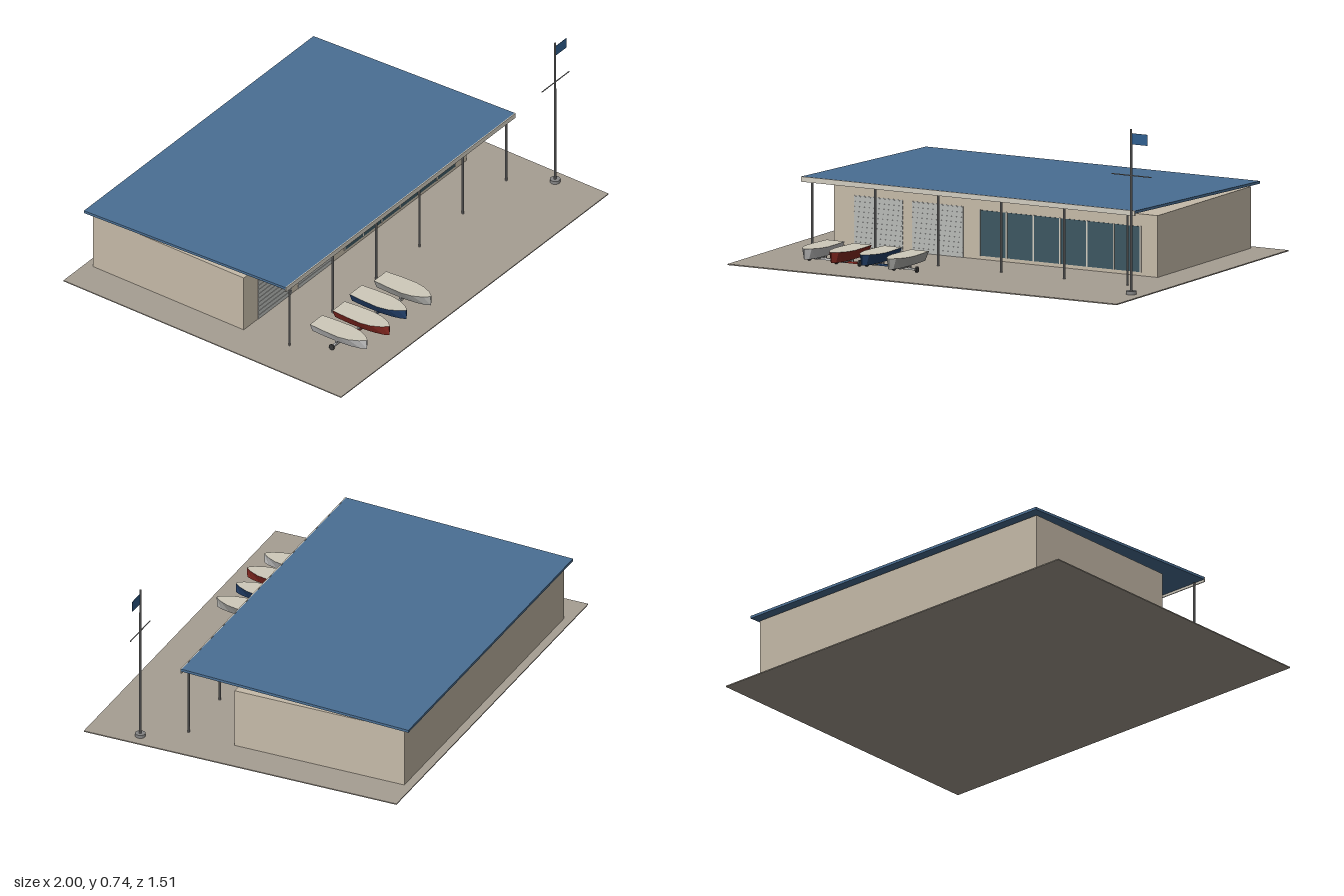
import * as THREE from 'three';

const mat = (color, double) => new THREE.MeshStandardMaterial({
  color, flatShading: true, side: double ? THREE.DoubleSide : THREE.FrontSide });

const M = {
  paving: mat(0xa69e92), wall: mat(0xc6bba9), roof: mat(0x4a6f94), trim: mat(0xd2cdc0),
  metal: mat(0x858585), glass: mat(0x3c5661), shutter: mat(0xb9bbb8), flag: mat(0x2f5f8f, true),
  deck: mat(0xcfcabb), tyre: mat(0x3a3a3a),
};

function add(parent, name, geo, material, x = 0, y = 0, z = 0) {
  const m = new THREE.Mesh(geo, material);
  m.name = name;
  m.position.set(x, y, z);
  parent.add(m);
  return m;
}

// Box given by its minimum and maximum corners
function box(parent, name, material, [x0, y0, z0], [x1, y1, z1]) {
  return add(parent, name, new THREE.BoxGeometry(x1 - x0, y1 - y0, z1 - z0), material,
    (x0 + x1) / 2, (y0 + y1) / 2, (z0 + z1) / 2);
}

function group(parent, name) {
  const g = new THREE.Group();
  g.name = name;
  parent.add(g);
  return g;
}

// Boat stations from stern to bow: z, half beam, half bottom width, bottom y, top y
const STATIONS = [
  [-0.138, 0.045, 0.026, 0.035, 0.079],
  [-0.06, 0.051, 0.028, 0.034, 0.08],
  [0.02, 0.053, 0.026, 0.034, 0.081],
  [0.07, 0.044, 0.02, 0.034, 0.082],
  [0.115, 0.024, 0.01, 0.035, 0.084],
  [0.14, 0.003, 0.001, 0.038, 0.085],
];

function surface(quads) {
  const p = [];
  for (const [a, b, c, d] of quads) p.push(...a, ...b, ...c, ...a, ...c, ...d);
  const g = new THREE.BufferGeometry();
  g.setAttribute('position', new THREE.Float32BufferAttribute(p, 3));
  g.computeVertexNormals();
  return g;
}

function makeBoat(color) {
  const boat = new THREE.Group();
  // Rings run top left, bottom left, bottom right, top right
  const rings = STATIONS.map(([z, w, b, y0, y1]) =>
    [[-w, y1, z], [-b, y0, z], [b, y0, z], [w, y1, z]]);
  const hull = [], deck = [];
  for (let i = 0; i < rings.length - 1; i++) {
    const a = rings[i], b = rings[i + 1];
    for (let j = 0; j < 3; j++) hull.push([a[j], a[j + 1], b[j + 1], b[j]]);
    deck.push([a[0], b[0], b[3], a[3]]);
  }
  const stern = rings[0], bow = rings[rings.length - 1];
  hull.push([stern[0], stern[3], stern[2], stern[1]], bow);
  add(boat, 'hull', surface(hull), mat(color, true));
  add(boat, 'deckCover', surface(deck), M.deck);

  // Launching trolley
  const trolley = group(boat, 'trolley');
  box(trolley, 'axle', mat(color), [-0.058, 0.015, -0.014], [0.058, 0.024, -0.004]);
  box(trolley, 'drawbar', M.metal, [-0.004, 0.022, -0.05], [0.004, 0.034, 0.04]);
  for (const s of [-1, 1]) {
    box(trolley, 'cradle', M.metal, [s * 0.024 - 0.004, 0.022, -0.014], [s * 0.024 + 0.004, 0.036, -0.004]);
    const wheel = add(trolley, 'wheel', new THREE.CylinderGeometry(0.014, 0.014, 0.007, 12), M.tyre,
      s * 0.058, 0.019, -0.009);
    wheel.rotation.z = Math.PI / 2;
  }
  return boat;
}

export function createModel() {
  const model = new THREE.Group();
  model.name = 'boathouse';

  box(model, 'paving', M.paving, [-1, 0, -0.757], [0.963, 0.005, 0.757]);
  const house = group(model, 'building');
  box(house, 'walls', M.wall, [-0.837, 0.005, -0.717], [0.797, 0.28, 0.105]);

  // Single-pitch roof sheared down towards the back
  const roofGeo = new THREE.BoxGeometry(1.685, 0.012, 1.1);
  const p = roofGeo.attributes.position;
  for (let i = 0; i < p.count; i++) p.setY(i, p.getY(i) + p.getZ(i) * 0.0375);
  roofGeo.computeVertexNormals();
  add(house, 'roof', roofGeo, M.roof, -0.0185, 0.316, -0.199);
  box(house, 'fascia', M.trim, [-0.861, 0.32, 0.349], [0.824, 0.343, 0.354]);

  // Veranda posts
  const postGeo = new THREE.CylinderGeometry(0.005, 0.005, 0.32, 8);
  for (let i = 0; i < 6; i++) add(house, 'post', postGeo, M.metal, -0.813 + i * 0.318, 0.165, 0.337);

  // Window wall with mullions
  const windows = group(house, 'windows');
  const x0 = -0.099, x1 = 0.712, step = (x1 - x0) / 6;
  box(windows, 'glass', M.glass, [x0, 0.021, 0.1], [x1, 0.224, 0.108]);
  for (let i = 0; i <= 6; i++) {
    const x = x0 + i * step;
    box(windows, 'mullion', M.trim, [x - 0.0035, 0.021, 0.1], [x + 0.0035, 0.226, 0.11]);
  }

  // Roller doors with horizontal slats
  for (const [a, b] of [[-0.733, -0.488], [-0.44, -0.184]]) {
    const door = group(house, 'rollerDoor');
    box(door, 'doorPanel', M.shutter, [a, 0.005, 0.1], [b, 0.232, 0.107]);
    for (let i = 0; i < 10; i++) {
      const y = 0.012 + i * 0.0225;
      box(door, 'slat', M.shutter, [a, y, 0.104], [b, y + 0.014, 0.109]);
    }
  }

  // Row of boats with bows facing forward
  [[-0.672, 0.515, 0xc6c6c2], [-0.527, 0.53, 0x8a2a22], [-0.382, 0.515, 0x24426e], [-0.233, 0.538, 0xb4b4b0]]
    .forEach(([x, z, color]) => {
      const boat = makeBoat(color);
      boat.name = 'boat';
      boat.position.set(x, 0, z);
      model.add(boat);
    });

  // Flagpole with yard and flag
  const pole = group(model, 'flagpole');
  pole.position.set(0.898, 0, 0.514);
  add(pole, 'base', new THREE.CylinderGeometry(0.023, 0.023, 0.015, 16), M.metal, 0, 0.0125, 0);
  add(pole, 'mast', new THREE.CylinderGeometry(0.0045, 0.006, 0.735, 10), M.metal, 0, 0.3725, 0);
  const yard = add(pole, 'yard', new THREE.CylinderGeometry(0.0025, 0.0025, 0.2, 8), M.metal, 0.002, 0.533, 0);
  yard.rotation.z = Math.PI / 2;
  box(pole, 'flag', M.flag, [0.004, 0.672, -0.001], [0.082, 0.721, 0.001]);

  return model;
}
